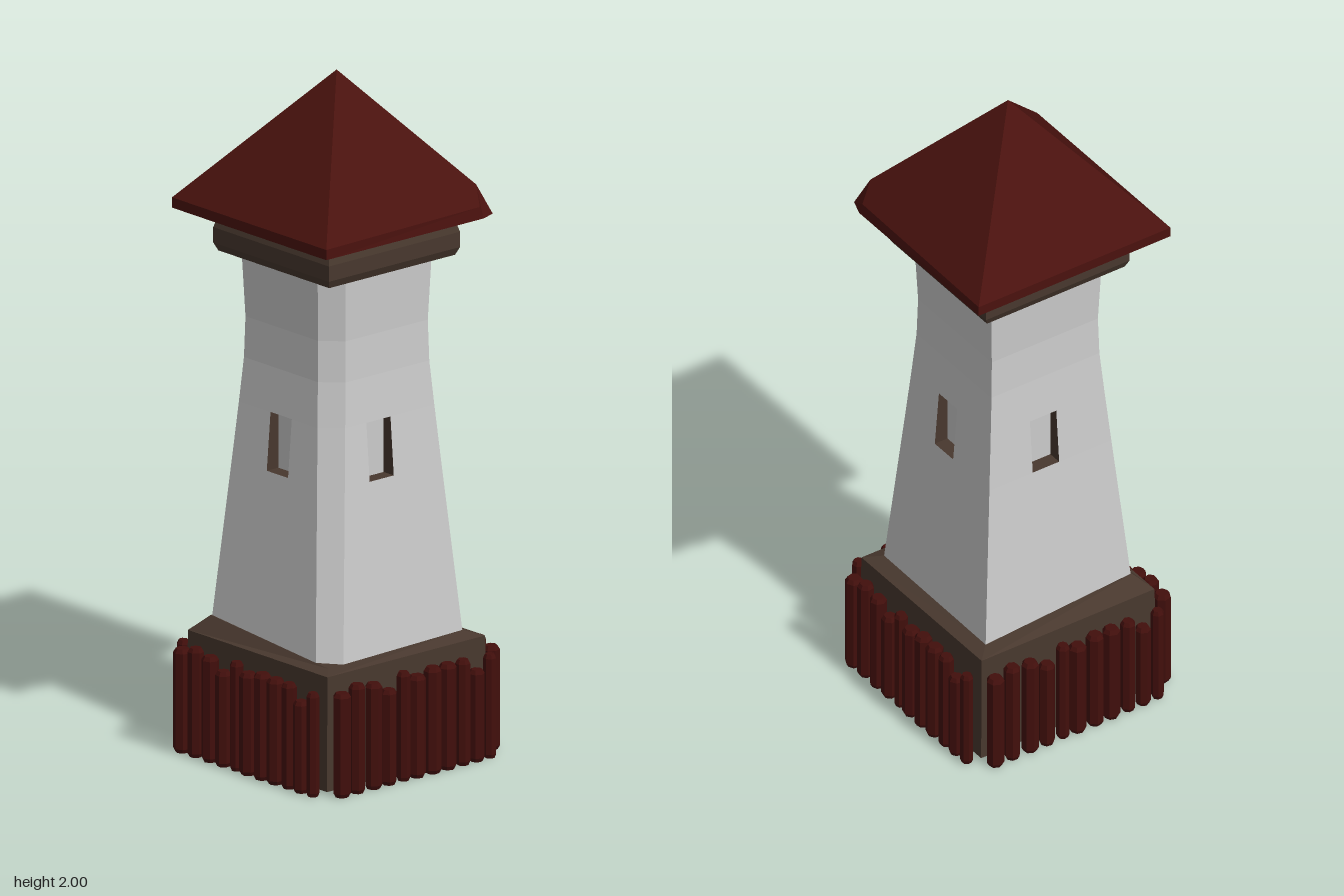
import * as THREE from 'three';

const material = (color, extra = {}) => new THREE.MeshStandardMaterial({ color, flatShading: true, ...extra });

// Flat-sided geometry from a list of quads or triangles, corners counter-clockwise from outside
function facesToGeometry(faces) {
  const pos = [];
  for (const f of faces)
    for (let i = 1; i < f.length - 1; i++) pos.push(...f[0], ...f[i], ...f[i + 1]);
  const g = new THREE.BufferGeometry();
  g.setAttribute('position', new THREE.Float32BufferAttribute(pos, 3));
  g.computeVertexNormals();
  return g;
}

// Faces between successive rings of equal point count
function loft(rings) {
  const faces = [];
  for (let r = 0; r < rings.length - 1; r++) {
    const a = rings[r], b = rings[r + 1];
    a.forEach((p, i) => {
      const j = (i + 1) % a.length;
      faces.push([p, a[j], b[j], b[i]]);
    });
  }
  return faces;
}

const square = (h, y) => [[-h, y, h], [h, y, h], [h, y, -h], [-h, y, -h]];
const under = (ring) => [...ring].reverse();

export function createModel() {
  const model = new THREE.Group();
  const grey = material(0xcccccc);
  const brown = material(0x48382e);
  const red = material(0x4a120e);
  const logRed = material(0x420f0c);

  const add = (name, geometry, mat, parent = model) => {
    const mesh = new THREE.Mesh(geometry, mat);
    mesh.name = name;
    parent.add(mesh);
    return mesh;
  };

  // Plinth with an uneven sloping top
  const plinthTop = [[-0.25, 0.39, 0.25], [0.25, 0.35, 0.25], [0.25, 0.36, -0.25], [-0.25, 0.355, -0.25]];
  const plinthBase = square(0.3, 0.01);
  add('plinth', facesToGeometry([
    ...loft([plinthBase, square(0.295, 0.345), plinthTop]), plinthTop, under(plinthBase),
  ]), brown);

  // Tower walls: four sides with a window opening, one corner cut off
  const levels = [[0.33, 0.252], [0.85, 0.208], [1.02, 0.194], [1.15, 0.184], [1.27, 0.181], [1.47, 0.189]];
  const cut = 0.055, winLeft = -0.06, winRight = 0.03, winBack = 0.165;
  for (let k = 0; k < 4; k++) {
    const side = new THREE.Group();
    side.name = 'towerSide';
    side.rotation.y = k * Math.PI / 2;
    model.add(side);
    const rows = levels.map(([y, h]) =>
      [-h + (k === 1 ? cut : 0), winLeft, winRight, h - (k === 0 ? cut : 0)].map((x) => [x, y, h]));
    const wall = [];
    for (let r = 0; r < rows.length - 1; r++)
      for (let c = 0; c < 3; c++)
        if (r !== 1 || c !== 1) wall.push([rows[r][c], rows[r][c + 1], rows[r + 1][c + 1], rows[r + 1][c]]);
    add('wall', facesToGeometry(wall), grey, side);

    // Window recess
    const rim = [rows[1][1], rows[1][2], rows[2][2], rows[2][1]];
    const pane = rim.map(([x, y]) => [x, y, winBack]);
    add('windowReveal', facesToGeometry(loft([rim, pane])), brown, side);
    add('windowPane', facesToGeometry([pane]), grey, side);
  }
  const bevel = [];
  for (let r = 0; r < levels.length - 1; r++) {
    const [y0, h0] = levels[r], [y1, h1] = levels[r + 1];
    bevel.push([[h0 - cut, y0, h0], [h0, y0, h0 - cut], [h1, y1, h1 - cut], [h1 - cut, y1, h1]]);
  }
  add('cutCorner', facesToGeometry(bevel), grey);

  // Collar with softened edges, its underside and the neck above
  const collarRings = [[0.235, 1.462], [0.245, 1.485], [0.245, 1.53], [0.235, 1.565]].map(([h, y]) => square(h, y));
  add('collar', facesToGeometry([...loft(collarRings), collarRings[3]]), brown);
  add('collarUnderside', facesToGeometry([under(collarRings[0])]), grey);
  add('neck', facesToGeometry(loft([square(0.2, 1.56), square(0.2, 1.59)])), grey);

  // Pyramid roof with one chipped corner
  const e = 0.327;
  const eaveLow = [[-e, 1.585, e], [e, 1.585, e], [e, 1.585, -0.26], [0.31, 1.585, -0.31], [0.26, 1.585, -e], [-e, 1.585, -e]];
  const eaveTop = [[-e, 1.615, e], [e, 1.615, e], [0.323, 1.62, -0.25], [0.277, 1.67, -0.277], [0.25, 1.62, -0.323], [-e, 1.615, -e]];
  const apex = eaveTop.map(() => [0, 2, 0]);
  add('roof', facesToGeometry(loft([eaveLow, eaveTop, apex])), red);
  add('roofUnderside', facesToGeometry([under(eaveLow)]), grey);

  // Palisade logs: position along the side, radius, height
  const logs = [
    [-0.275, 0.026, 0.305], [-0.218, 0.024, 0.32], [-0.157, 0.025, 0.31], [-0.1, 0.024, 0.28],
    [-0.045, 0.02, 0.32], [0.005, 0.026, 0.3], [0.064, 0.026, 0.312], [0.12, 0.026, 0.31],
    [0.177, 0.022, 0.31], [0.228, 0.023, 0.27], [0.278, 0.019, 0.305],
  ];
  for (let k = 0; k < 4; k++) {
    const row = new THREE.Group();
    row.name = 'palisadeSide';
    row.rotation.y = k * Math.PI / 2;
    model.add(row);
    logs.forEach(([x, r, h], i) => {
      const profile = [[0, 0], [r * 0.75, 0], [r, 0.012], [r, h - 0.012], [r * 0.7, h], [0, h]]
        .map(([a, b]) => new THREE.Vector2(a, b));
      const log = add('log', new THREE.LatheGeometry(profile, 7), logRed, row);
      log.position.set(x, 0, 0.334);
      log.rotation.y = i * 1.3;
    });
  }
  return model;
}
